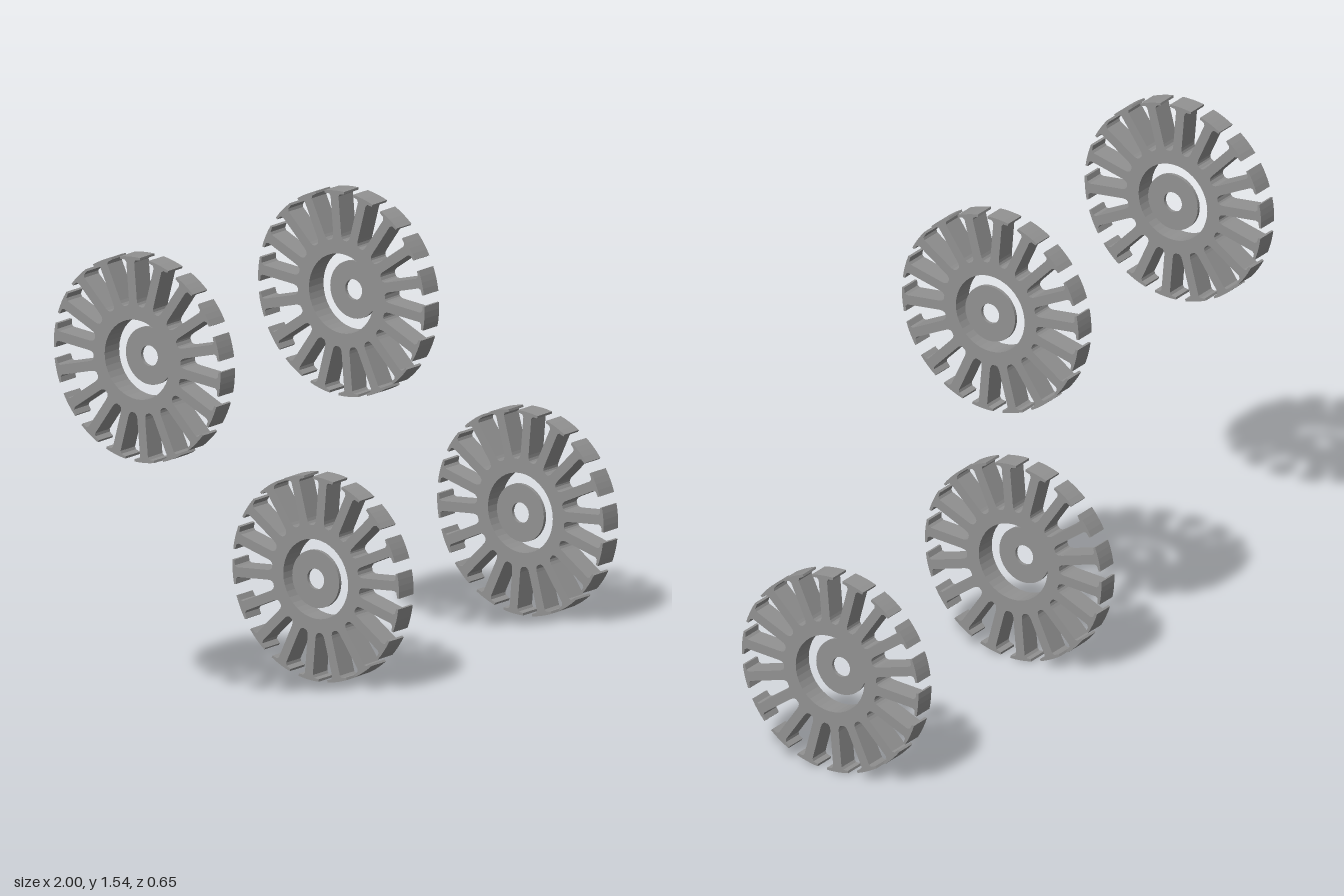
import * as THREE from 'three';

const TEETH = 18, STEP = (Math.PI * 2) / TEETH, OFFSET = THREE.MathUtils.degToRad(5);
const R = 0.3265, WIDTH = 0.073, HUB_WIDTH = 0.011;
const deg = THREE.MathUtils.degToRad;

const polar = (r, a) => [r * Math.cos(deg(a)), r * Math.sin(deg(a))];

// Upper half of one T-shaped spoke lying along +x: cap centre to slot root
const halfTooth = [
  polar(R, 0), polar(R, 3.4), polar(R, 6.9), polar(0.319, 6.9),
  [0.3155, 0.021], [0.308, 0.0155], [0.19, 0.0155],
  polar(0.181, 5.2), polar(0.174, 6.5), polar(0.171, 8.2), polar(0.171, 10),
];

function addHole(shape, radius) {
  const hole = new THREE.Path();
  hole.absarc(0, 0, radius, 0, Math.PI * 2, true);
  shape.holes.push(hole);
  return shape;
}

// Extrudes a profile along x, centred on x = 0
function extrudeX(shape, depth) {
  const geo = new THREE.ExtrudeGeometry(shape, { depth, bevelEnabled: false, curveSegments: 20 });
  geo.translate(0, 0, -depth / 2);
  geo.rotateY(Math.PI / 2);
  return geo;
}

// Slotted ring: spokes repeated around the centre
function spokedRingShape() {
  const lower = halfTooth.slice(1, -1).map(([u, v]) => [u, -v]).reverse();
  const tooth = [...lower, ...halfTooth];
  const centre = new THREE.Vector2();
  const pts = [];
  for (let i = 0; i < TEETH; i++) {
    const a = OFFSET + i * STEP;
    for (const [u, v] of tooth) pts.push(new THREE.Vector2(u, v).rotateAround(centre, a));
  }
  return addHole(new THREE.Shape(pts), 0.127);
}

function hubShape() {
  const shape = new THREE.Shape();
  shape.absarc(0, 0, 0.092, 0, Math.PI * 2, false);
  return addHole(shape, 0.033);
}

export function createModel() {
  const model = new THREE.Group();
  const material = new THREE.MeshStandardMaterial({ color: 0x929292, flatShading: true });
  const ringGeo = extrudeX(spokedRingShape(), WIDTH);
  const hubGeo = extrudeX(hubShape(), HUB_WIDTH);

  function addWheel(name, x, y, turned) {
    const wheel = new THREE.Group();
    wheel.name = name;
    const ring = new THREE.Mesh(ringGeo, material);
    ring.name = 'spokedRing';
    // Thin hub washer flush with one face
    const hub = new THREE.Mesh(hubGeo, material);
    hub.name = 'hubWasher';
    hub.position.x = (WIDTH - HUB_WIDTH) / 2;
    wheel.add(ring, hub);
    wheel.position.set(x, y, 0);
    if (turned) wheel.rotation.y = Math.PI;
    model.add(wheel);
  }

  // Upper pair, and lower pair turned half round
  addWheel('upperOuterWheel', -0.9635, 1.215, false);
  addWheel('upperInnerWheel', 0.0635, 1.215, false);
  addWheel('lowerInnerWheel', -0.0655, 0.33, true);
  addWheel('lowerOuterWheel', 0.9635, 0.33, true);
  return model;
}
